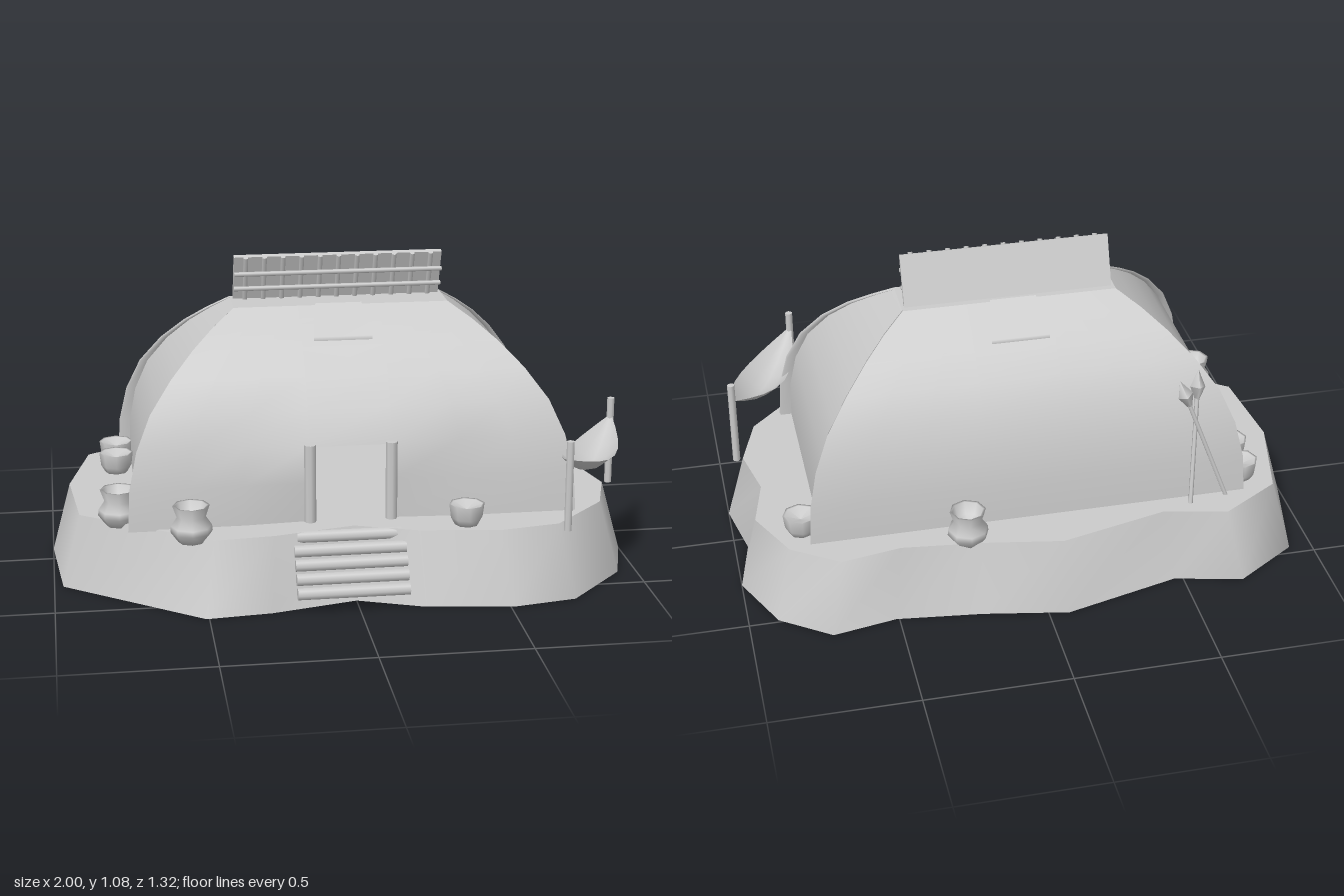
import * as THREE from 'three';

const V = (x, y, z) => new THREE.Vector3(x, y, z);
const UP = V(0, 1, 0);

const mat = new THREE.MeshStandardMaterial({ color: 0xcccccc, side: THREE.DoubleSide });

function add(parent, name, geometry) {
  const m = new THREE.Mesh(geometry, mat);
  m.name = name;
  parent.add(m);
  return m;
}

// Skin over rows of points; skip(i, j) leaves a hole
function skin(rows, skip = () => false) {
  const n = rows[0].length, index = [];
  for (let i = 0; i < rows.length - 1; i++) {
    for (let j = 0; j < n - 1; j++) {
      if (skip(i, j)) continue;
      const a = i * n + j, d = a + n;
      index.push(a, a + 1, d + 1, a, d + 1, d);
    }
  }
  const g = new THREE.BufferGeometry().setFromPoints(rows.flat());
  g.setIndex(index);
  g.computeVertexNormals();
  return g;
}

// Round pole between two points
function pole(parent, name, a, b, r, sides = 8, rTop = r) {
  const m = add(parent, name, new THREE.CylinderGeometry(rTop, r, a.distanceTo(b), sides));
  m.position.copy(a).lerp(b, 0.5);
  m.quaternion.setFromUnitVectors(UP, b.clone().sub(a).normalize());
  return m;
}

// Earth mound: irregular outline, tapered sides, flat top, open below
function buildMound(root) {
  const outline = [
    [-0.97, 0.27], [-0.51, 0.62], [-0.29, 0.60], [0, 0.53], [0.22, 0.615], [0.51, 0.655],
    [0.73, 0.615], [0.935, 0.395], [1, 0.17], [0.955, -0.05], [1, -0.27], [0.90, -0.49],
    [0.73, -0.61], [0.51, -0.57], [0.22, -0.605], [-0.07, -0.66], [-0.47, -0.555],
    [-0.70, -0.61], [-0.92, -0.465], [-1, -0.10]];
  const ring = (y, sx, sz) => [...outline, outline[0]].map(([x, z]) => V(x * sx, y, z * sz));
  const top = ring(0.245, 0.935, 0.885);
  const sides = skin([ring(0, 1, 1), top]);
  // match the normals at the seam
  const nor = sides.attributes.normal, n = top.length;
  for (const s of [0, n]) {
    const avg = new THREE.Vector3().fromBufferAttribute(nor, s)
      .add(new THREE.Vector3().fromBufferAttribute(nor, s + n - 1)).normalize();
    nor.setXYZ(s, avg.x, avg.y, avg.z);
    nor.setXYZ(s + n - 1, avg.x, avg.y, avg.z);
  }
  add(root, 'moundSides', sides);
  const cap = new THREE.ShapeGeometry(new THREE.Shape(top.map(p => new THREE.Vector2(p.x, -p.z))));
  cap.rotateX(-Math.PI / 2).translate(0, 0.245, 0);
  add(root, 'moundTop', cap);
}

// Hut: curved front and back slopes with recessed curved ends
function buildHut(root) {
  const hut = new THREE.Group();
  hut.name = 'hut';
  hut.position.x = 0.01;
  root.add(hut);
  // height, half length, half depth
  const profile = [
    [0.24, 0.76, 0.42], [0.38, 0.752, 0.41], [0.505, 0.725, 0.385], [0.62, 0.675, 0.345],
    [0.72, 0.60, 0.285], [0.80, 0.52, 0.213], [0.86, 0.445, 0.145], [0.91, 0.37, 0.085]];
  const slope = door => skin(profile.map(([y, X, Z]) => {
    const zDoor = door && y < 0.51 ? 0.405 : Z;
    return [V(-X, y, Z), V(-X * 0.75, y, Z), V(-X * 0.5, y, Z), V(-0.15, y, zDoor),
      V(0.13, y, zDoor), V(X * 0.5, y, Z), V(X * 0.75, y, Z), V(X, y, Z)];
  }), (i, j) => door && j === 3 && i < 2);
  add(hut, 'frontSlope', slope(true));
  add(hut, 'backSlope', slope(false)).rotation.y = Math.PI;

  const inset = i => 0.042 - 0.005 * i;
  const panel = skin(profile.map(([y, X, Z], i) =>
    [1, 0, -1].map(s => V(X - inset(i), y, s * (Z - 0.012)))));
  const rim = s => skin(profile.map(([y, X, Z], i) => {
    const row = [V(X, y, s * Z), V(X - 0.004, y, s * (Z - 0.012)), V(X - inset(i), y, s * (Z - 0.012))];
    return s > 0 ? row : row.reverse();
  }));
  for (const turn of [0, Math.PI]) {
    const end = new THREE.Group();
    end.name = turn ? 'rightEnd' : 'leftEnd';
    end.rotation.y = turn;
    hut.add(end);
    add(end, 'endWall', panel);
    add(end, 'frontRim', rim(1));
    add(end, 'backRim', rim(-1));
  }
  const ridge = add(hut, 'ridgeTop', new THREE.PlaneGeometry(0.74, 0.17));
  ridge.rotation.x = -Math.PI / 2;
  ridge.position.y = 0.91;

  // Smoke flaps lying on both slopes
  for (const s of [1, -1]) {
    const row = (w, y, z) => [V(-w * s - 0.01, y, z * s), V(w * s - 0.01, y, z * s)];
    add(hut, 'smokeFlap', skin([row(0.1, 0.815, 0.205), row(0.1, 0.829, 0.205),
      row(0.08, 0.916, 0.083)]));
  }
  // Door posts
  for (const x of [-0.15, 0.125]) pole(hut, 'doorPost', V(x, 0.24, 0.41), V(x, 0.515, 0.41), 0.02);
}

// Leaning screen on the ridge, with a lattice of poles on its front
function buildRidgeScreen(root) {
  const screen = new THREE.Group();
  screen.name = 'ridgeScreen';
  screen.position.set(0.01, 0.905, -0.055);
  screen.rotation.x = 0.38;
  root.add(screen);
  add(screen, 'screenBoard', new THREE.BoxGeometry(0.72, 0.18, 0.016)).position.y = 0.09;
  for (let i = 0; i < 11; i++) {
    const x = -0.32 + i * 0.064;
    pole(screen, 'upright', V(x, 0, 0.017), V(x, 0.184, 0.017), 0.009, 6);
  }
  for (const y of [0.065, 0.125])
    pole(screen, 'crossPole', V(-0.36, y, 0.03), V(0.36, y, 0.03), 0.008, 6);
}

// Log steps up the front of the mound
function buildSteps(root) {
  for (let i = 0; i < 5; i++) {
    const y = 0.07 + i * 0.039, z = 0.62 - i * 0.029, w = i === 4 ? 0.175 : 0.187;
    pole(root, 'stepLog', V(-0.022 - w, y, z), V(-0.022 + w, y, z), 0.021);
  }
}

// Hammock slung between two posts
function buildHammock(root) {
  const a = V(0.695, 0.245, 0.612), b = V(0.957, 0.245, 0.147);
  for (const p of [a, b]) pole(root, 'hammockPost', p, V(p.x, 0.555, p.z), 0.013);
  const side = b.clone().sub(a).cross(UP).normalize();
  const rows = [];
  for (let i = 0; i <= 8; i++) {
    const t = i / 8, bow = Math.sin(Math.PI * t);
    rows.push([-1, -0.5, 0, 0.5, 1].map(s => {
      const p = a.clone().lerp(b, t).addScaledVector(side, s * (0.006 + 0.08 * bow));
      p.y = 0.49 - bow * (0.105 - 0.05 * s * s);
      return p;
    }));
  }
  add(root, 'hammockCloth', skin(rows));
}

// Eight-sided vases and bowls
function buildPots(root) {
  const lathe = pts => new THREE.LatheGeometry(pts.map(p => new THREE.Vector2(...p)), 8);
  const vase = lathe([[0, 0], [0.045, 0], [0.07, 0.035], [0.068, 0.055], [0.048, 0.085],
    [0.062, 0.125], [0.053, 0.124], [0.04, 0.085], [0, 0.07]]);
  const bowl = lathe([[0, 0], [0.04, 0], [0.054, 0.025], [0.06, 0.072], [0.053, 0.07], [0, 0.05]]);
  for (const [x, z] of [[-0.545, 0.495], [0.245, -0.49], [-0.775, 0.3]])
    add(root, 'vase', vase).position.set(x, 0.228, z);
  for (const [x, z] of [[-0.76, -0.34], [-0.765, -0.205], [0.79, -0.34], [0.375, 0.505]])
    add(root, 'bowl', bowl).position.set(x, 0.246, z);
}

// Two crossed spears leaning on the back slope
function buildSpears(root) {
  const pairs = [[V(-0.68, 0.24, -0.435), V(-0.51, 0.695, -0.385)],
    [V(-0.545, 0.24, -0.46), V(-0.59, 0.70, -0.335)]];
  for (const [foot, tip] of pairs) {
    const at = t => foot.clone().lerp(tip, t);
    pole(root, 'spearShaft', foot, at(0.82), 0.008, 6);
    pole(root, 'spearHeadBase', at(0.79), at(0.88), 0.009, 4, 0.027);
    pole(root, 'spearHeadTip', at(0.88), tip, 0.027, 4, 0.001);
  }
}

export function createModel() {
  const root = new THREE.Group();
  root.name = 'hutOnMound';
  buildMound(root);
  buildHut(root);
  buildRidgeScreen(root);
  buildSteps(root);
  buildHammock(root);
  buildPots(root);
  buildSpears(root);
  return root;
}
